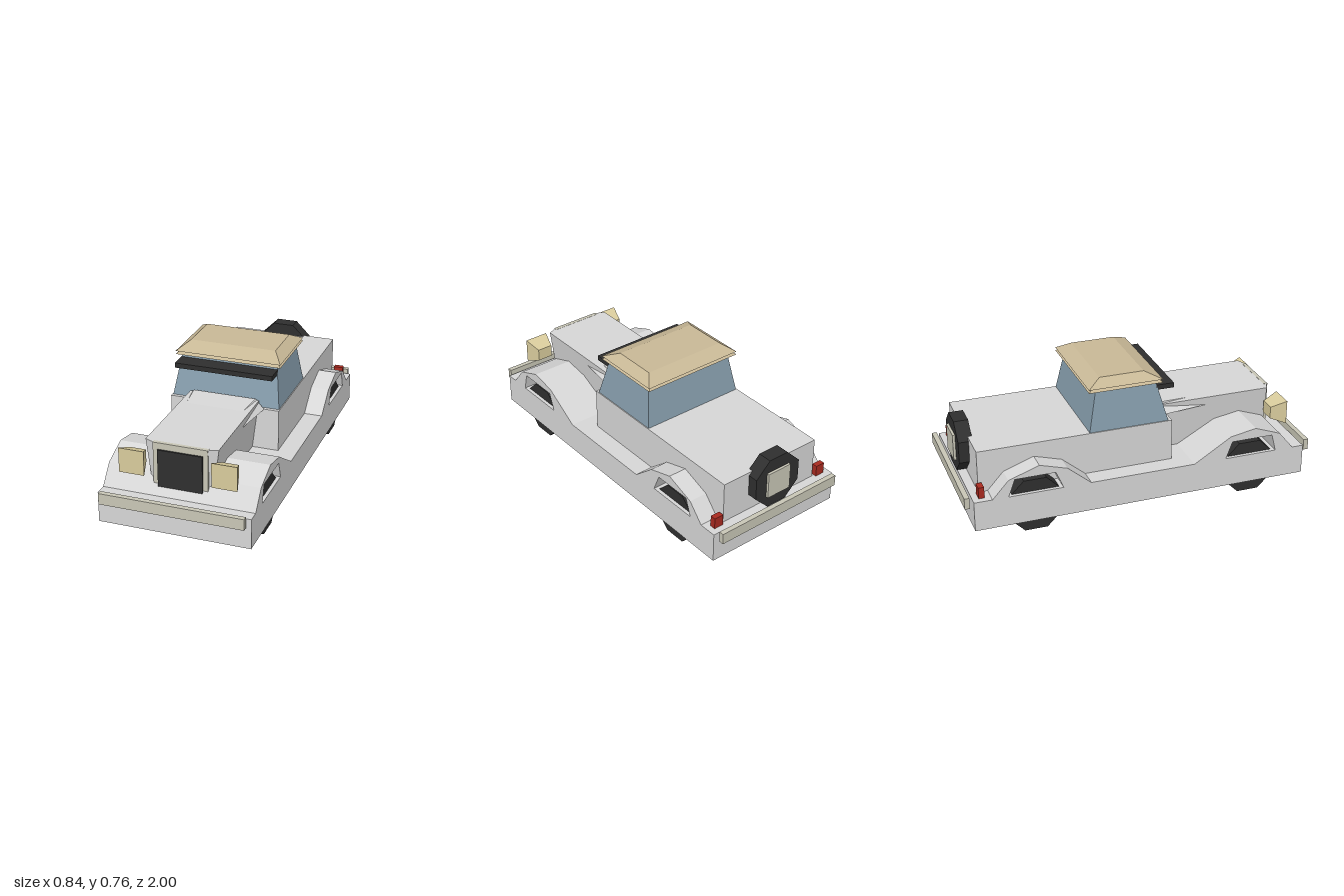
import * as THREE from 'three';

const mat = (name, color) => {
  const m = new THREE.MeshStandardMaterial({ color });
  m.name = name;
  return m;
};

export function createModel() {
  const car = new THREE.Group();
  car.name = 'car';
  const paint = mat('silver paint', 0xd6d6d6);
  const trim = mat('trim metal', 0xc8c6b6);
  const black = mat('black rubber', 0x2f2f2f);
  const glass = mat('window glass', 0x859cab);
  const canvas = mat('tan roof', 0xc8b896);
  const lamp = mat('lamp cream', 0xd8cb9c);
  const red = mat('red lamp', 0xa82a20);

  const add = (name, geo, material) => {
    const mesh = new THREE.Mesh(geo, material);
    mesh.name = name;
    car.add(mesh);
    return mesh;
  };
  // Box given by its limits on each axis
  const box = (name, material, [x0, x1], [y0, y1], [z0, z1]) =>
    add(name, new THREE.BoxGeometry(x1 - x0, y1 - y0, z1 - z0)
      .translate((x0 + x1) / 2, (y0 + y1) / 2, (z0 + z1) / 2), material);
  // Apply a rule to every vertex and restore flat normals
  const reshape = (geo, rule) => {
    const p = geo.attributes.position;
    const v = new THREE.Vector3();
    for (let i = 0; i < p.count; i++) {
      rule(v.fromBufferAttribute(p, i));
      p.setXYZ(i, v.x, v.y, v.z);
    }
    geo.computeVertexNormals();
    return geo;
  };
  // Tapered block: each end is [y, halfWidth, zBack, zFront]
  const taper = (name, material, bottom, top) =>
    add(name, reshape(new THREE.BoxGeometry(2, 2, 2), v => {
      const [y, w, zb, zf] = v.y > 0 ? top : bottom;
      v.set(v.x * w, y, v.z > 0 ? zf : zb);
    }), material);
  const shape = pts => new THREE.Shape(pts.map(p => new THREE.Vector2(...p)));

  // Lower tub and cabin body
  box('lowerBody', paint, [-0.42, 0.42], [0.065, 0.236], [-0.955, 0.955]);
  box('rearBody', paint, [-0.315, 0.315], [0.23, 0.475], [-0.905, 0.195]);

  // Arched fenders with wheel openings, side profile in [z, y]
  const fenders = {
    frontFenders: [[0.89, 0.235], [0.805, 0.338], [0.655, 0.395], [0.505, 0.368], [0.29, 0.235],
      [0.479, 0.235], [0.516, 0.335], [0.757, 0.335], [0.783, 0.235]],
    rearFenders: [[-0.307, 0.235], [-0.44, 0.348], [-0.595, 0.395], [-0.765, 0.335], [-0.855, 0.235],
      [-0.767, 0.235], [-0.73, 0.335], [-0.505, 0.335], [-0.463, 0.235]],
  };
  for (const [name, pts] of Object.entries(fenders)) {
    const geo = new THREE.ExtrudeGeometry(shape(pts), { depth: 0.84, bevelEnabled: false });
    add(name, geo.rotateY(-Math.PI / 2).translate(0.42, 0, 0), paint);
  }

  // Eight-sided wheels running the full width
  const octagon = (apothem, length) =>
    new THREE.CylinderGeometry(apothem / Math.cos(Math.PI / 8), apothem / Math.cos(Math.PI / 8), length, 8)
      .rotateY(Math.PI / 8).toNonIndexed();
  for (const [name, z] of [['frontWheels', 0.63], ['rearWheels', -0.615]]) {
    const geo = octagon(0.152, 0.8).rotateZ(Math.PI / 2).translate(0, 0.152, z);
    geo.computeVertexNormals();
    add(name, geo, black);
  }

  // Hood with chamfered nose, narrowing downwards
  const plan = shape([[-0.2, -0.19], [0.2, -0.19], [0.2, -0.82], [0.15, -0.842], [-0.15, -0.842], [-0.2, -0.82]]);
  const hood = new THREE.ExtrudeGeometry(plan, { depth: 0.29, bevelEnabled: false })
    .rotateX(-Math.PI / 2).translate(0, 0.23, 0);
  add('hood', reshape(hood, v => { if (v.y < 0.3) v.x *= 0.82; }), paint);

  // Cowl flaring from the hood to the cabin
  const cowl = reshape(new THREE.BoxGeometry(2, 2, 2), v => {
    const front = v.z > 0;
    if (v.y > 0) v.set(v.x * (front ? 0.16 : 0.18), front ? 0.519 : 0.527, front ? 0.37 : 0.19);
    else v.set(v.x * (front ? 0.193 : 0.23), 0.472, front ? 0.457 : 0.19);
  });
  add('cowl', cowl, paint);

  // Grille
  box('grilleSurround', trim, [-0.15, 0.15], [0.283, 0.521], [0.825, 0.847]);
  box('grille', black, [-0.123, 0.123], [0.272, 0.485], [0.83, 0.857]);

  // Headlights and tail lights
  for (const [side, s] of [['left', 1], ['right', -1]]) {
    const light = reshape(new THREE.BoxGeometry(2, 2, 2), v => {
      const front = v.z > 0;
      v.set(s * 0.254 + v.x * (front ? 0.07 : 0.045),
        0.41 + v.y * (front ? 0.069 : 0.035), front ? 0.89 : 0.8);
    });
    add(side + 'Headlight', light, lamp);
    box(side + 'TailLight', red, s > 0 ? [0.33, 0.385] : [-0.385, -0.33], [0.235, 0.3], [-0.92, -0.888]);
  }

  // Glasshouse, two-tier roof and sun visor
  taper('windows', glass, [0.474, 0.31, -0.278, 0.175], [0.715, 0.274, -0.23, 0.108]);
  taper('lowerRoof', canvas, [0.706, 0.304, -0.277, 0.145], [0.727, 0.278, -0.25, 0.115]);
  taper('upperRoof', canvas, [0.724, 0.304, -0.277, 0.145], [0.765, 0.246, -0.2, 0.052]);
  box('sunVisor', black, [-0.281, 0.281], [0.656, 0.684], [0.115, 0.215]);

  // Bumpers
  box('frontBumper', trim, [-0.397, 0.397], [0.193, 0.256], [0.972, 1]);
  box('rearBumper', trim, [-0.397, 0.397], [0.193, 0.256], [-1, -0.972]);

  // Spare wheel on the tail
  const spare = octagon(0.147, 0.08).rotateX(Math.PI / 2).translate(0, 0.394, -0.922);
  spare.computeVertexNormals();
  add('spareWheel', spare, black);
  box('spareWheelHub', trim, [-0.075, 0.075], [0.318, 0.468], [-0.976, -0.95]);

  return car;
}
